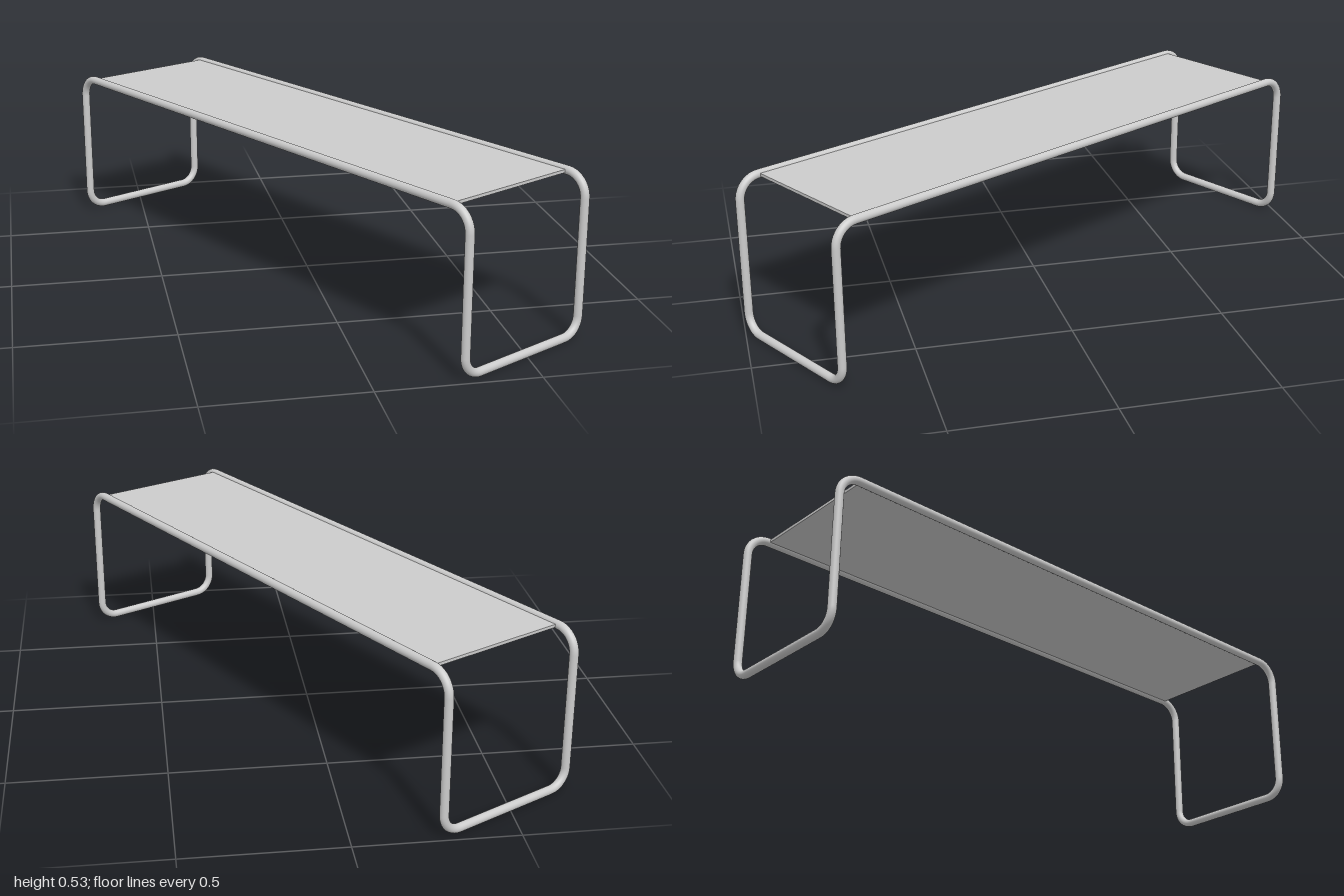
import * as THREE from 'three';

const HALF_LENGTH = 0.992, HALF_WIDTH = 0.244, TUBE = 0.014, TOP = 0.519;
const TOP_BEND = 0.07, FOOT_BEND = 0.06, BEND_STEPS = 10;

// Closed run of points; each point becomes one ring of the tube
class Polyline extends THREE.Curve {
  constructor(points) {
    super();
    this.points = points;
  }
  getPoint(t, target = new THREE.Vector3()) {
    const n = this.points.length - 1;
    const s = Math.min(Math.max(t, 0), 1) * n;
    const i = Math.min(Math.floor(s + 1e-9), n - 1);
    return target.lerpVectors(this.points[i], this.points[i + 1], s - i);
  }
  getPointAt(t, target) { return this.getPoint(t, target); }
  getTangentAt(t, target) { return this.getTangent(t, target); }
}

// Rounds a right-angled corner with a quarter circle
function bend(prev, corner, next, radius) {
  const a = prev.clone().sub(corner).setLength(radius);
  const b = next.clone().sub(corner).setLength(radius);
  const points = [];
  for (let i = 0; i <= BEND_STEPS; i++) {
    const angle = (i / BEND_STEPS) * Math.PI / 2;
    points.push(corner.clone()
      .addScaledVector(a, 1 - Math.sin(angle))
      .addScaledVector(b, 1 - Math.cos(angle)));
  }
  return points;
}

function createFrame(material) {
  // One continuous loop: foot bar, leg, rail, leg, foot bar, leg, rail, leg
  const corners = [
    [1, 0, 1], [1, 1, 1], [1, 1, -1], [1, 0, -1],
    [-1, 0, -1], [-1, 1, -1], [-1, 1, 1], [-1, 0, 1],
  ].map(([x, y, z]) => new THREE.Vector3(x * HALF_WIDTH, y ? TOP : TUBE, z * HALF_LENGTH));
  const start = new THREE.Vector3(0, TUBE, HALF_LENGTH);
  const path = [start];
  corners.forEach((corner, i) => {
    const radius = corner.y === TOP ? TOP_BEND : FOOT_BEND;
    path.push(...bend(corners[(i + 7) % 8], corner, corners[(i + 1) % 8], radius));
  });
  path.push(start.clone());
  const geometry = new THREE.TubeGeometry(new Polyline(path), path.length - 1, TUBE, 20, true);
  const frame = new THREE.Mesh(geometry, material);
  frame.name = 'tubeFrame';
  return frame;
}

export function createModel() {
  const material = new THREE.MeshStandardMaterial({ color: 0xcccccc });
  const bench = new THREE.Group();
  bench.name = 'bench';
  bench.add(createFrame(material));

  // Thin seat panel held between the rails, ending where the rails bend
  const seat = new THREE.Mesh(
    new THREE.BoxGeometry(HALF_WIDTH * 2, 0.01, (HALF_LENGTH - TOP_BEND) * 2), material);
  seat.position.y = TOP;
  seat.name = 'seat';
  bench.add(seat);

  // The bench stands turned on the ground
  bench.rotation.y = THREE.MathUtils.degToRad(29.1);
  const model = new THREE.Group();
  model.name = 'turnedBench';
  model.add(bench);
  return model;
}
